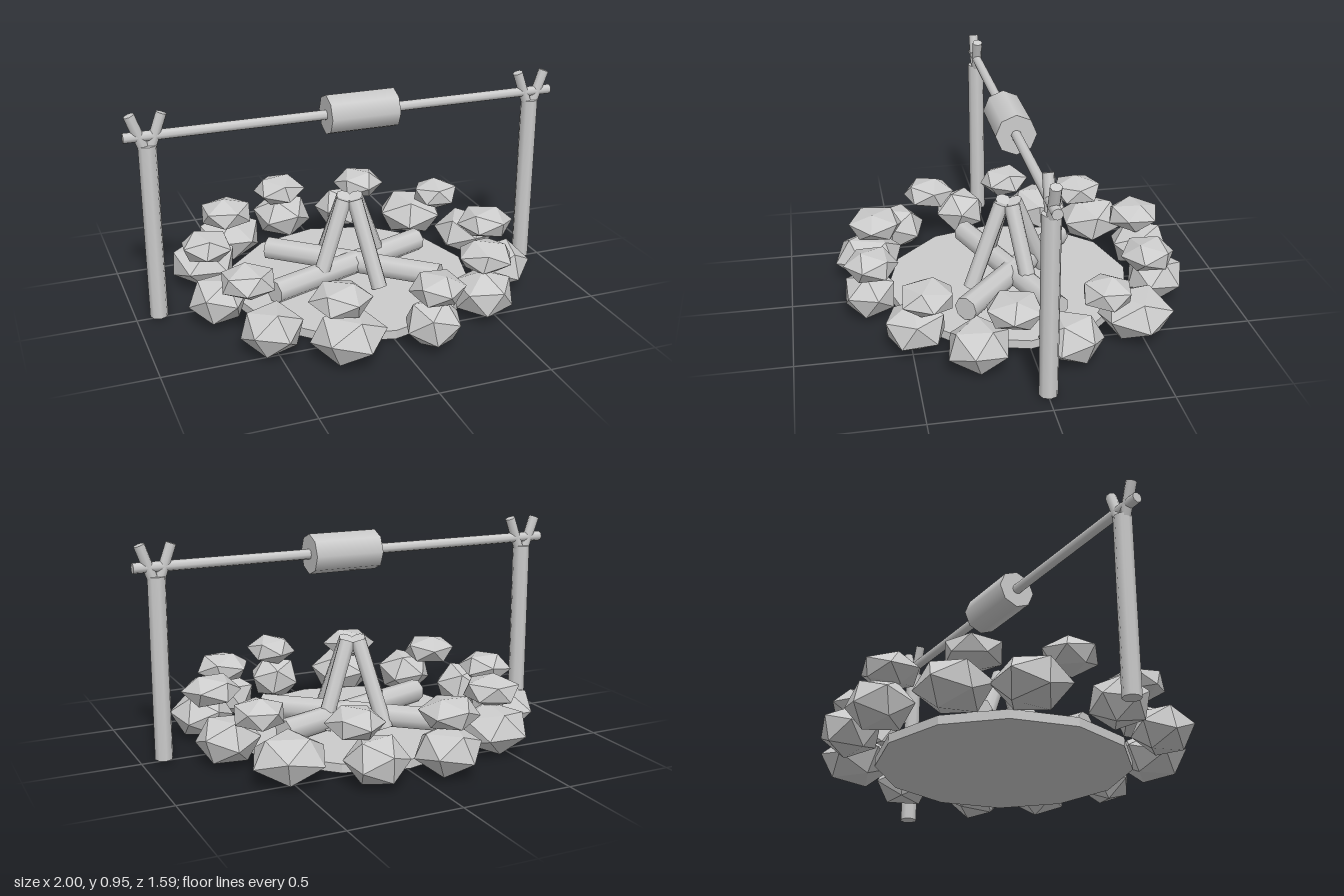
import * as THREE from 'three';

const mat = new THREE.MeshStandardMaterial({ color: 0xcccccc });
const stoneMat = new THREE.MeshStandardMaterial({ color: 0xcccccc, flatShading: true });

// small seeded generator for the uneven stones
let seed = 11;
const rand = (a, b) => {
  seed = (seed * 16807) % 2147483647;
  return a + (b - a) * (seed / 2147483647);
};

// cylinder running from one point to another
function rod(name, from, to, radius, sides = 8) {
  const a = new THREE.Vector3(...from), b = new THREE.Vector3(...to);
  const dir = b.clone().sub(a);
  const mesh = new THREE.Mesh(new THREE.CylinderGeometry(radius, radius, dir.length(), sides), mat);
  mesh.position.copy(a).add(b).multiplyScalar(0.5);
  mesh.quaternion.setFromUnitVectors(new THREE.Vector3(0, 1, 0), dir.normalize());
  mesh.name = name;
  return mesh;
}

// squashed faceted stone
function stone(name, x, y, z, width, height) {
  const geo = new THREE.IcosahedronGeometry(1, 0);
  geo.rotateX(rand(0, 3)).rotateZ(rand(0, 3));
  geo.scale(width, height, width).rotateY(rand(0, 6));
  const mesh = new THREE.Mesh(geo, stoneMat);
  mesh.position.set(x, y, z);
  mesh.name = name;
  return mesh;
}

export function createModel() {
  seed = 11;
  const model = new THREE.Group();
  model.name = 'campfire';

  // ash bed
  const ash = new THREE.Mesh(new THREE.CylinderGeometry(0.565, 0.565, 0.04, 12), stoneMat);
  ash.position.y = 0.05;
  ash.name = 'ashBed';
  model.add(ash);

  // two courses of stones round the fire: x, z, width
  const stones = new THREE.Group();
  stones.name = 'stoneRing';
  const lower = [
    [0.65, 0.24, 0.145], [0.45, 0.48, 0.145], [0.13, 0.65, 0.13], [-0.24, 0.63, 0.165],
    [-0.52, 0.47, 0.14], [-0.66, 0.13, 0.135], [-0.63, -0.27, 0.165], [-0.44, -0.51, 0.165],
    [-0.12, -0.67, 0.15], [0.2, -0.65, 0.14], [0.51, -0.47, 0.17], [0.66, -0.15, 0.145],
  ];
  for (const [x, z, w] of lower) stones.add(stone('lowerStone', x, 0.13, z, w, 0.112));
  const upper = [
    [0.65, 0.09], [0.48, 0.43], [0.15, 0.64], [-0.26, 0.59], [-0.57, 0.3],
    [-0.65, -0.1], [-0.47, -0.44], [-0.14, -0.64], [0.27, -0.59], [0.58, -0.32],
  ];
  for (const [x, z] of upper) stones.add(stone('upperStone', x, 0.28, z, rand(0.12, 0.135), 0.075));
  model.add(stones);

  // logs lying crossed on the ash
  model.add(rod('lyingLog', [-0.3, 0.125, -0.31], [0.345, 0.125, 0.25], 0.055));
  model.add(rod('lyingLog', [-0.41, 0.125, 0.145], [0.405, 0.125, -0.15], 0.055));

  // four sticks leaning together
  for (let i = 0; i < 4; i++) {
    const a = 1.18 + i * Math.PI / 2, c = Math.cos(a), s = Math.sin(a);
    model.add(rod('leaningStick', [0.2 * c, 0.08, 0.2 * s], [0.035 * c, 0.46, 0.035 * s], 0.037));
  }

  // forked posts
  for (const side of [-1, 1]) {
    const x = 0.9 * side;
    const post = new THREE.Group();
    post.name = side > 0 ? 'leftPost' : 'rightPost';
    post.add(rod('upright', [x, 0.03, 0], [x, 0.83, 0], 0.04));
    for (const tilt of [-1, 1])
      post.add(rod('forkProng', [x + 0.012 * tilt, 0.81, 0], [x + 0.068 * tilt, 0.965, 0], 0.024));
    model.add(post);
  }

  // spit with the roast on it
  model.add(rod('spit', [-1, 0.87, 0], [1, 0.87, 0], 0.023));
  model.add(rod('roast', [-0.11, 0.87, 0], [0.21, 0.87, 0], 0.09));

  return model;
}
